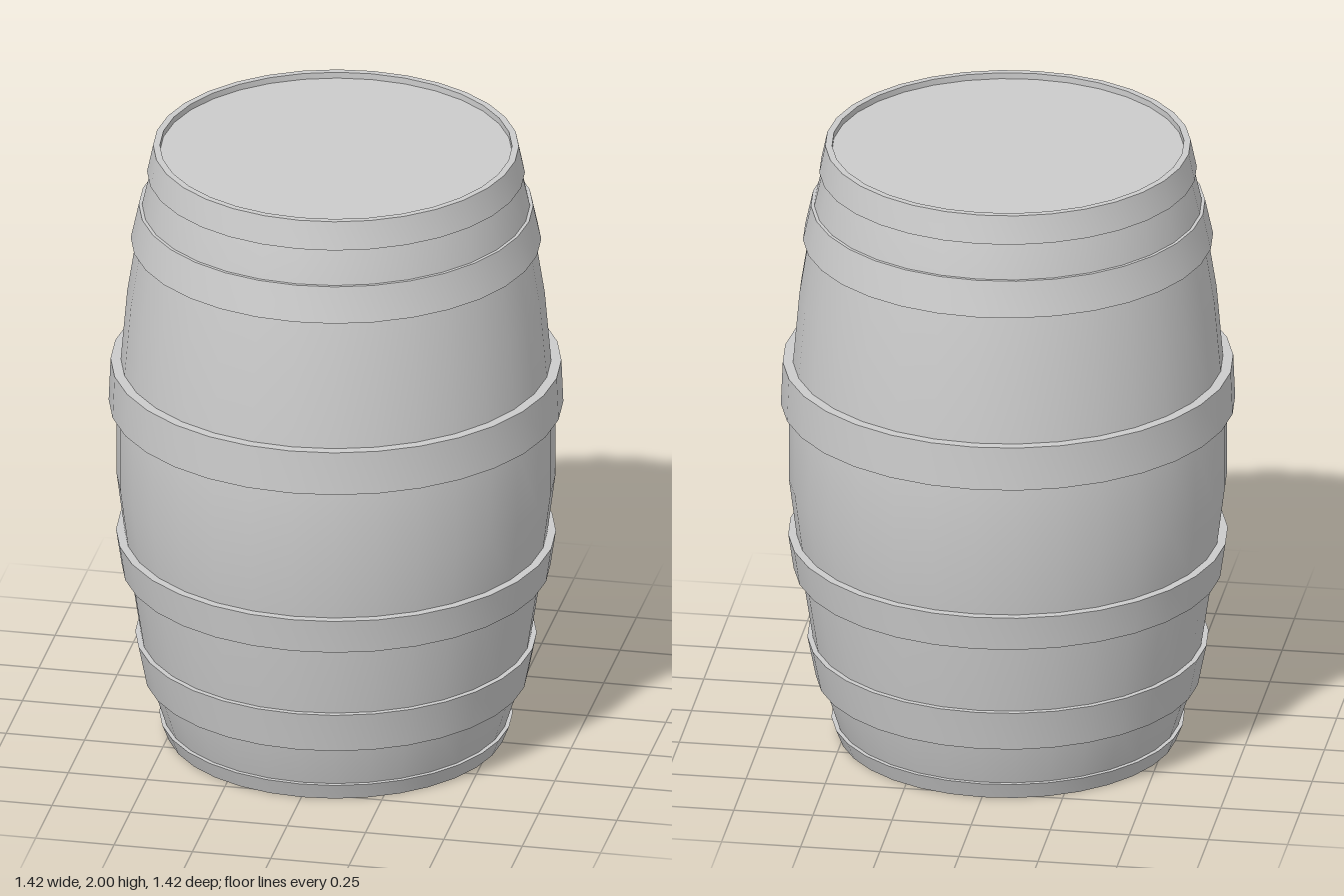
import * as THREE from 'three';
import { toCreasedNormals } from 'three/addons/utils/BufferGeometryUtils.js';

const SIDES = 32;

export function createModel() {
  const group = new THREE.Group();
  const material = new THREE.MeshStandardMaterial({ color: 0xcccccc, side: THREE.DoubleSide });

  const add = (name, geometry) => {
    const mesh = new THREE.Mesh(geometry, material);
    mesh.name = name;
    group.add(mesh);
    return mesh;
  };
  const lathe = (points) => toCreasedNormals(
    new THREE.LatheGeometry(points.map(([r, y]) => new THREE.Vector2(r, y)), SIDES), 0.6);

  // Bulging stave wall: radius and height, bottom to top
  const wall = [
    [0.52, 0], [0.54, 0.06], [0.585, 0.2], [0.61, 0.33], [0.645, 0.56], [0.662, 0.69],
    [0.685, 0.87], [0.685, 1.12], [0.672, 1.27], [0.652, 1.5], [0.622, 1.69],
    [0.605, 1.8], [0.58, 1.91], [0.56, 2],
  ];
  // The wall folds inwards over both rims down to the recessed heads
  add('staves', lathe([[0.51, 0.045], [0.51, 0], ...wall, [0.55, 2], [0.55, 1.98]]));

  const wallRadius = (y) => {
    const i = Math.max(1, wall.findIndex((p) => p[1] >= y));
    const [a, b] = [wall[i - 1], wall[i]];
    return a[0] + (b[0] - a[0]) * (y - a[1]) / (b[1] - a[1]);
  };

  // Metal hoops: bottom height and radius, top height and radius
  const hoops = [
    ['bottomRimHoop', 0, 0.53, 0.055, 0.552],
    ['lowerHoop', 0.195, 0.6, 0.33, 0.627],
    ['lowerMiddleHoop', 0.565, 0.67, 0.68, 0.687],
    ['middleHoop', 1.125, 0.71, 1.267, 0.704],
    ['upperHoop', 1.682, 0.641, 1.797, 0.616],
    ['topRimHoop', 1.91, 0.59, 2, 0.571],
  ];
  for (const [name, y0, r0, y1, r1] of hoops) {
    const in0 = wallRadius(y0) - 0.004, in1 = wallRadius(y1) - 0.004;
    add(name, lathe([[in0, y0], [r0, y0], [r1, y1], [in1, y1]]));
  }

  // Flat top head, slightly recessed
  const top = add('topHead', new THREE.CircleGeometry(0.55, SIDES));
  top.rotation.x = -Math.PI / 2;
  top.position.y = 1.98;

  // Bottom head with a small eight-sided hole
  const disc = new THREE.Shape().absarc(0, 0, 0.51, 0, Math.PI * 2);
  const hole = [];
  for (let i = 0; i < 8; i++) {
    const a = (i + 0.5) * Math.PI / 4;
    hole.push(new THREE.Vector2(0.062 * Math.cos(a), 0.062 * Math.sin(a)));
  }
  disc.holes.push(new THREE.Path(hole).closePath());
  const bottom = add('bottomHead', new THREE.ShapeGeometry(disc, SIDES));
  bottom.rotation.x = Math.PI / 2;
  bottom.position.y = 0.045;

  return group;
}
